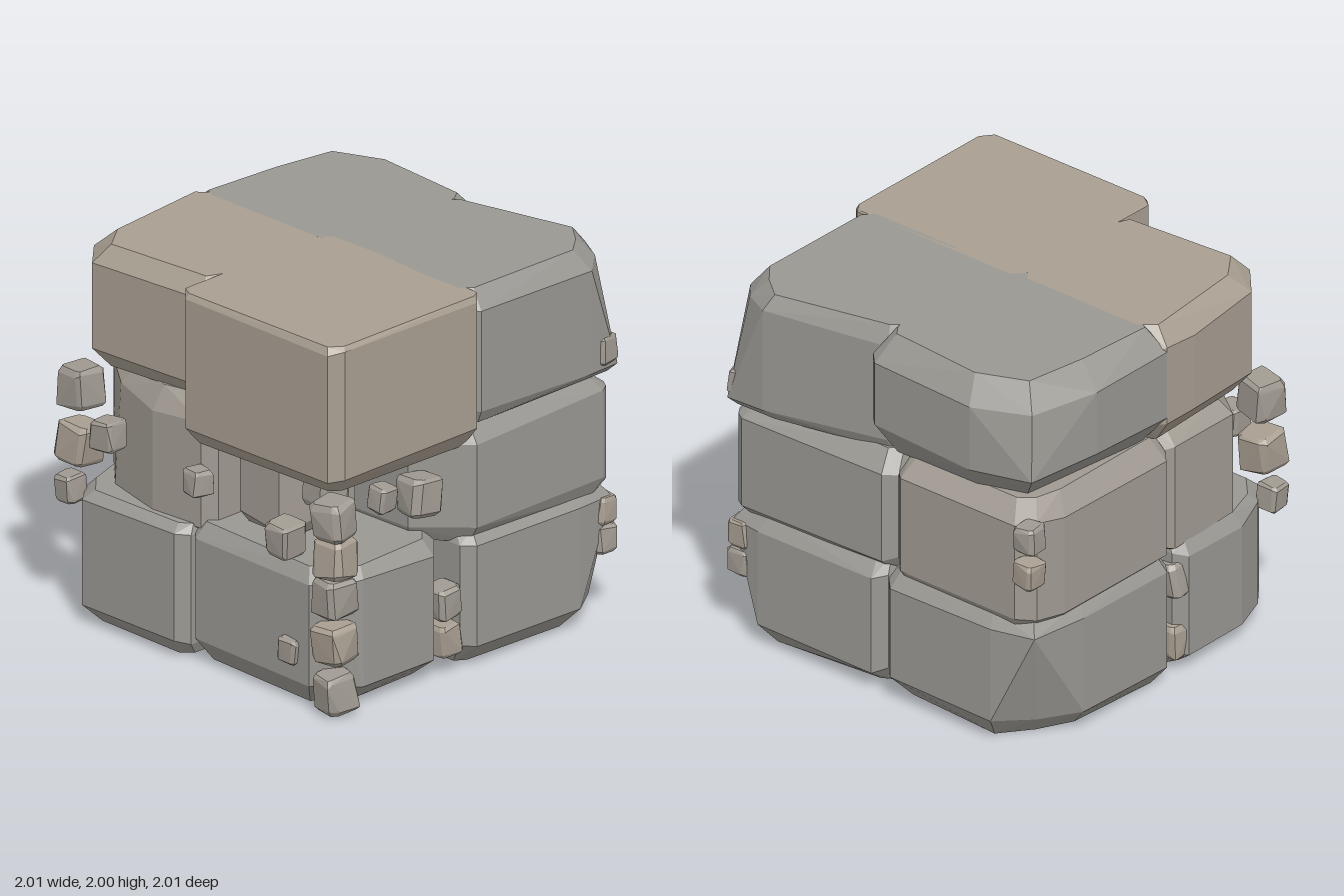
import * as THREE from 'three';
import { ConvexGeometry } from 'three/addons/geometries/ConvexGeometry.js';

const TAN = 0xa89e91, WARM = 0xa09a91, GREY = 0x999792;

// Small seeded generator, -1..1
let seed = 7;
const rnd = () => {
  seed = (seed * 16807) % 2147483647;
  return (seed / 2147483647) * 2 - 1;
};

// Rough-hewn stone: hull of four rings between a low and a high plan of [x, z],
// bevelled at both ends by drawing the end rings toward the anchor
function stone(name, color, low, high, anchor, y0, y1, bottom, top, rough) {
  const [ax, az] = anchor;
  const reach = Math.max(...low.map(([x, z]) => Math.hypot(x - ax, z - az)));
  const points = [];
  const ring = (plan, y, inset, wobble) => {
    for (const [x, z] of plan) {
      const k = 1 - (inset * (1.2 + rnd() * 0.3)) / reach;
      points.push(new THREE.Vector3(ax + (x - ax) * k, y + rnd() * wobble, az + (z - az) * k));
    }
  };
  ring(low, y0, bottom, 0);
  ring(low, y0 + bottom * 1.1, 0, rough);
  ring(high, y1 - top * 1.1, 0, rough);
  ring(high, y1, top, 0);
  const mesh = new THREE.Mesh(
    new ConvexGeometry(points),
    new THREE.MeshStandardMaterial({ color, flatShading: true })
  );
  mesh.name = name;
  return mesh;
}

// Plan of a quadrant stone: inner and outer reach on each axis, a cut outer corner
// whose middle bulges by fullness, a cut side corner, and the outer z face
// falling back by skew toward the middle
function quadrantPlan(sx, sz, { x: [xi, xo], z: [zi, zo], cut: [cutX, cutZ], side, skew }, fullness) {
  const c = 0.06, f = (1 - fullness) / 2;
  return [
    [xi, zi + c], [xi + c, zi], [xo - side, zi], [xo, zi + side],
    [xo, zo - cutZ], [xo - cutX * f, zo - cutZ * f], [xo - cutX, zo],
    [xi + c, zo - skew], [xi, zo - skew - c],
  ].map(([x, z]) => [sx * x, sz * z]);
}

// Pebble: small bevelled cube with a slight turn
function pebble(x, y, z, size, color) {
  const h = size / 2;
  const plan = () => Array.from({ length: 8 }, (_, i) => {
    const a = ((i + 0.5) * Math.PI) / 4;
    const corner = (t) => Math.sign(t) * h * (Math.abs(t) > 0.7 ? 0.98 : 0.72) * (1 + rnd() * 0.13);
    return [corner(Math.cos(a)), corner(Math.sin(a))];
  });
  const mesh = stone('pebble', color, plan(), plan(), [0, 0], -h * 1.1, h * 1.1, h * 0.22, h * 0.22, h * 0.15);
  mesh.position.set(x, y, z);
  mesh.rotation.set(rnd() * 0.12, rnd() * 0.15, rnd() * 0.12);
  return mesh;
}

// Large stones, one entry per quadrant; full and bevel are [bottom, top]
const topCourse = {
  FrontLeft: { color: TAN, x: [-0.1, 1], z: [-0.04, 1], y: [1.19, 2], cut: [0.05, 0.07], side: 0.05, skew: 0, full: [0, 0], bevel: [0.09, 0.02] },
  FrontRight: { color: TAN, x: [0.04, 1], z: [-0.05, 0.89], y: [1.35, 2], cut: [0.2, 0.65], side: 0.08, skew: 0.05, full: [0.5, 0.5], bevel: [0.1, 0.1] },
  BackLeft: { color: GREY, x: [0, 0.99], z: [-0.03, 1], y: [1.3, 2], cut: [0.25, 0.2], side: 0.06, skew: 0.15, full: [0.9, 0.2], bevel: [0.05, 0.08] },
  BackRight: { color: GREY, x: [-0.1, 1], z: [-0.08, 1], y: [1.33, 2], cut: [0.4, 0.5], side: 0.05, skew: 0.03, full: [0.7, 0.5], bevel: [0.18, 0.12] },
};
const middleCourse = {
  FrontLeft: { color: WARM, x: [0.05, 0.45], z: [0.25, 0.78], y: [0.75, 1.19], cut: [0.06, 0.15], side: 0.06, skew: 0.01, full: [0, 0], bevel: [0.05, 0.05] },
  FrontRight: { color: WARM, x: [0.01, 0.94], z: [0.1, 0.88], y: [0.67, 1.36], cut: [0.55, 0.28], side: 0.06, skew: 0.02, full: [0.3, 0.2], bevel: [0.04, 0.1] },
  BackLeft: { color: GREY, x: [-0.03, 0.99], z: [-0.24, 0.96], y: [0.67, 1.33], cut: [0.08, 0.08], side: 0.24, skew: 0.03, full: [0.2, 0.2], bevel: [0.07, 0.1] },
  BackRight: { color: WARM, x: [0.05, 0.97], z: [-0.12, 0.95], y: [0.67, 1.36], cut: [0.12, 0.24], side: 0.06, skew: 0, full: [0.4, 0.4], bevel: [0.05, 0.09] },
};
const bottomCourse = {
  FrontLeft: { color: GREY, x: [-0.12, 0.94], z: [0.05, 0.94], y: [0, 0.74], cut: [0.18, 0.2], side: 0.2, skew: 0.03, full: [0, 0.2], bevel: [0.11, 0.06] },
  FrontRight: { color: GREY, x: [0.1, 0.98], z: [0.16, 0.96], y: [0.01, 0.71], cut: [0.18, 0.34], side: 0.06, skew: 0, full: [0.2, 0.2], bevel: [0.08, 0.05] },
  BackLeft: { color: GREY, x: [0.01, 0.99], z: [-0.06, 0.98], y: [0.01, 0.73], cut: [0.2, 0.26], side: 0.06, skew: 0.02, full: [0.1, 0.8], bevel: [0.1, 0.07] },
  BackRight: { color: GREY, x: [0.01, 1], z: [-0.09, 0.98], y: [0, 0.72], cut: [0.28, 0.38], side: 0.06, skew: 0, full: [0, 0.75], bevel: [0.11, 0.07] },
};

// Pebbles lodged in the joints and stacked along the corners
const pebbleStacks = [
  { x: 0.88, z: 0.88, size: 0.18, heights: [1.04, 0.83, 0.63, 0.38, 0.12] },
  { x: -0.88, z: 0.89, size: 0.19, heights: [1.23, 0.93] },
  { x: -0.93, z: 0.91, size: 0.13, heights: [0.68] },
  { x: 0.88, z: 0.13, size: 0.15, heights: [0.38, 0.18] },
  { x: 0.93, z: -0.92, size: 0.13, heights: [1.43, 0.58, 0.42] },
  { x: -0.93, z: -0.93, size: 0.13, heights: [1.22, 1.02] },
  { x: -0.88, z: 0.21, size: 0.17, heights: [0.51, 0.17] },
  { x: -0.68, z: 0.9, size: 0.14, heights: [1.03] },
  { x: -0.03, z: 0.92, size: 0.12, heights: [0.98] },
  { x: 0.62, z: 0.68, size: 0.18, heights: [1.08] },
  { x: 0.53, z: 0.87, size: 0.16, heights: [0.83] },
  { x: 0.62, z: 0.92, size: 0.12, heights: [0.28] },
  { x: 0.86, z: 0.53, size: 0.12, heights: [1.04] },
  { x: 0.86, z: 0.27, size: 0.18, heights: [0.98] },
];

export function createModel() {
  const model = new THREE.Group();
  model.name = 'stoneBlock';

  // Three courses of four stones, each bevelled mostly on its outer sides
  for (const [course, stones] of Object.entries({ top: topCourse, middle: middleCourse, bottom: bottomCourse })) {
    for (const [place, s] of Object.entries(stones)) {
      const sx = place.endsWith('Left') ? 1 : -1, sz = place.startsWith('Front') ? 1 : -1;
      const [low, high] = s.full.map((f) => quadrantPlan(sx, sz, s, f));
      const anchor = [sx * THREE.MathUtils.lerp(...s.x, 0.3), sz * THREE.MathUtils.lerp(...s.z, 0.3)];
      model.add(stone(`${course}${place}Stone`, s.color, low, high, anchor, ...s.y, ...s.bevel, 0.02));
    }
  }

  // Pebbles
  for (const { x, z, size, heights } of pebbleStacks) {
    heights.forEach((y, i) => model.add(pebble(x, y, z, size, i % 2 ? TAN : WARM)));
  }
  return model;
}
